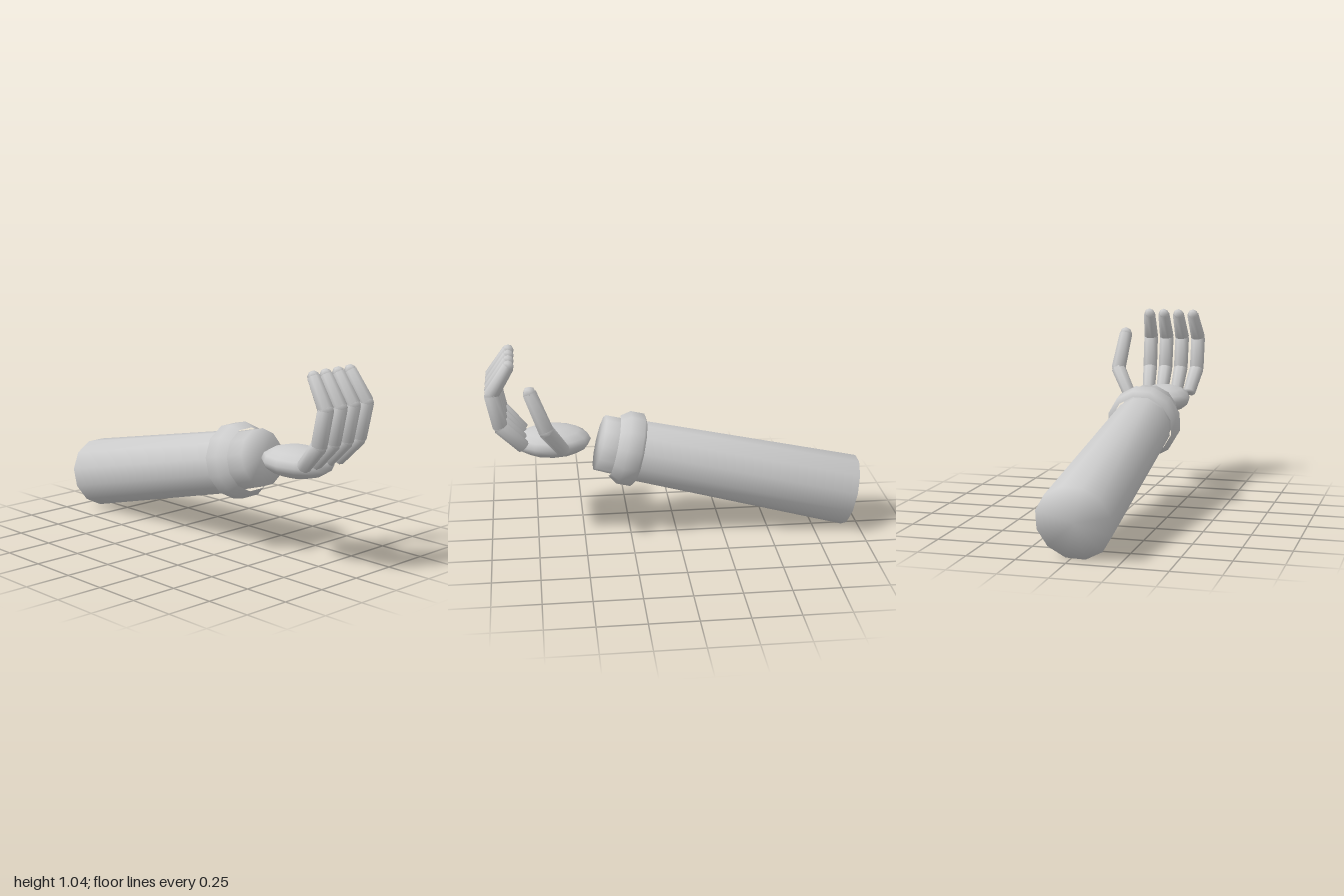
import * as THREE from 'three';

const grey = new THREE.MeshStandardMaterial({ color: 0xcccccc });
const UP = new THREE.Vector3(0, 1, 0);
const V = (p) => new THREE.Vector3(...p);

// Turn a profile of [radius, height] pairs around an axis, flat side down
function turned(name, profile, sides, from, to) {
  const points = profile.map(([r, h]) => new THREE.Vector2(r, h));
  const geometry = new THREE.LatheGeometry(points, sides, Math.PI / sides);
  const mesh = new THREE.Mesh(geometry, grey);
  mesh.name = name;
  mesh.position.copy(V(from));
  mesh.quaternion.setFromUnitVectors(UP, V(to).sub(V(from)).normalize());
  return mesh;
}

// Closed tapered tube between two points, shaded softly over its rims
function limb(name, from, to, r0, r1, sides) {
  const length = V(from).distanceTo(V(to));
  return turned(name, [[0, 0], [r0, 0], [r1, length], [0, length]], sides, from, to);
}

function ball(name, center, radii, across, down) {
  const mesh = new THREE.Mesh(new THREE.SphereGeometry(1, across, down), grey);
  mesh.name = name;
  mesh.position.set(...center);
  mesh.scale.set(...radii);
  return mesh;
}

// A chain of tapered bones with knuckles and a pointed tip
function digit(name, joints, radii) {
  const group = new THREE.Group();
  group.name = name;
  for (let i = 0; i < joints.length - 1; i++) {
    group.add(limb('bone', joints[i], joints[i + 1], radii[i], radii[i + 1], 8));
    const r = radii[i + 1] * 0.97;
    const last = i === joints.length - 2;
    group.add(ball(last ? 'fingertip' : 'knuckle', joints[i + 1], [r, r, r], 6, 4));
  }
  return group;
}

export function createModel() {
  const model = new THREE.Group();
  model.name = 'roboticArm';

  // Forearm and wrist
  model.add(limb('forearm', [-0.026, 0.187, -0.955], [-0.058, 0.457, 0.19], 0.194, 0.164, 12));
  model.add(limb('wristCuff', [-0.058, 0.457, 0.19], [-0.058, 0.517, 0.408], 0.156, 0.15, 12));

  // Loose band around the wrist, open at both ends
  const band = [[0.17, -0.057], [0.199, -0.04], [0.199, 0.035], [0.165, 0.085]];
  model.add(turned('wristBand', band, 12, [-0.06, 0.473, 0.245], [-0.063, 0.5, 0.36]));

  // Palm
  model.add(ball('palm', [-0.062, 0.541, 0.655], [0.158, 0.08, 0.202], 12, 8));

  // Fingers: x of the base, two knuckles and tip
  const fingers = {
    littleFinger: [-0.185, -0.204, -0.203, -0.19],
    ringFinger: [-0.108, -0.107, -0.106, -0.103],
    middleFinger: [-0.022, -0.014, -0.012, -0.015],
    indexFinger: [0.06, 0.08, 0.084, 0.071],
  };
  const bend = [[0.56, 0.81], [0.685, 0.925], [0.865, 0.962], [1.008, 0.87]];
  for (const [name, xs] of Object.entries(fingers)) {
    const joints = xs.map((x, i) => [x, ...bend[i]]);
    model.add(digit(name, joints, [0.036, 0.041, 0.041, 0.033]));
  }

  // Thumb
  const thumb = [[0.115, 0.55, 0.605], [0.212, 0.702, 0.692], [0.187, 0.9, 0.768]];
  model.add(digit('thumb', thumb, [0.036, 0.041, 0.037]));

  return model;
}
